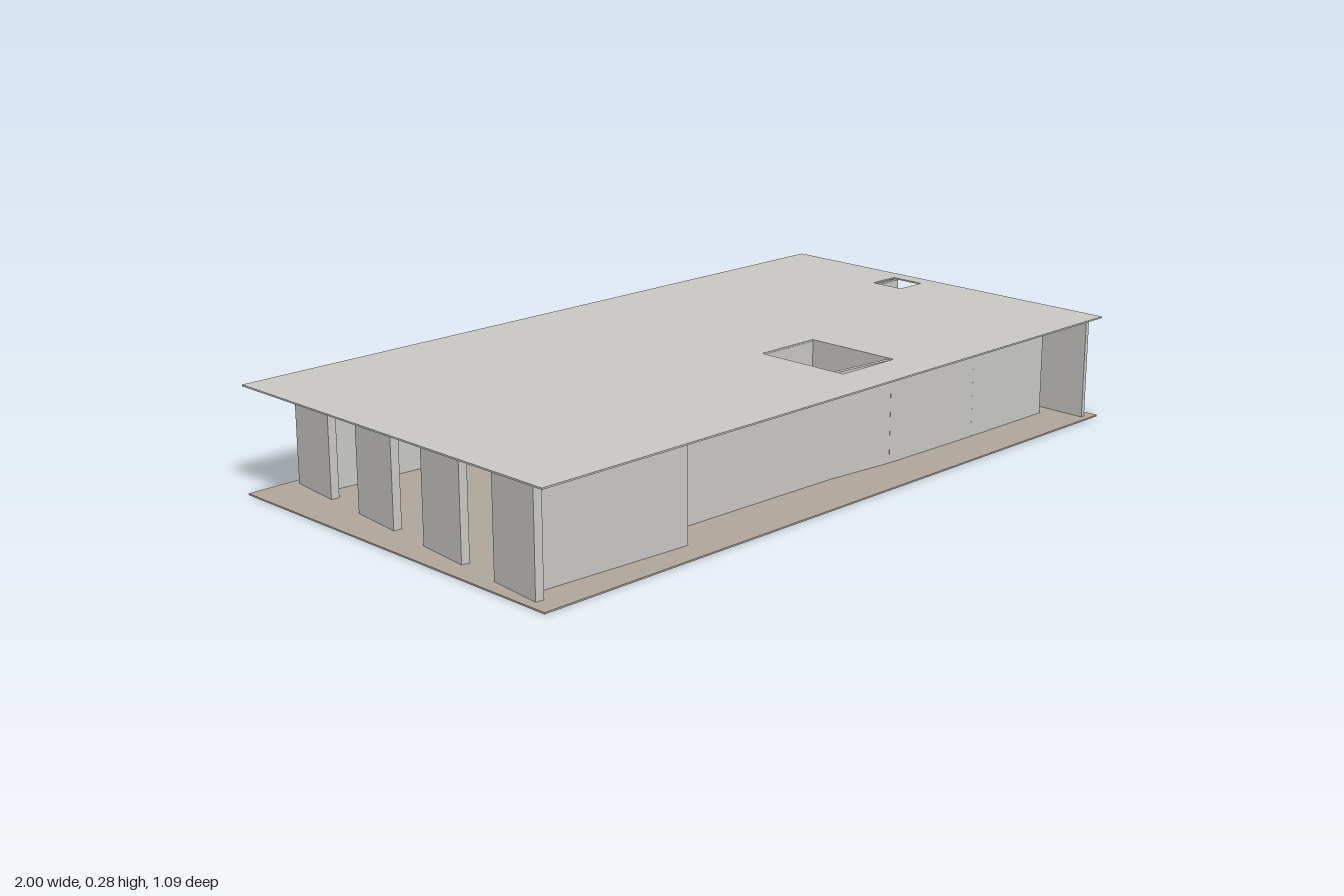
import * as THREE from 'three';

const HEIGHT = 0.28, SLAB = 0.004;

// Rectangular outline with rectangular holes, each [x0, y0, x1, y1]
function rectShape(x0, y0, x1, y1, holes = []) {
  const trace = (path, a, b, c, d) => {
    path.moveTo(a, b);
    path.lineTo(c, b);
    path.lineTo(c, d);
    path.lineTo(a, d);
    path.closePath();
    return path;
  };
  const shape = trace(new THREE.Shape(), x0, y0, x1, y1);
  for (const h of holes) shape.holes.push(trace(new THREE.Path(), ...h));
  return shape;
}

export function createModel() {
  const model = new THREE.Group();
  model.name = 'pavilion';

  const plaster = new THREE.MeshStandardMaterial({ color: 0xc8c7c4 });
  plaster.name = 'plaster grey';
  const stone = new THREE.MeshStandardMaterial({ color: 0xafa69b });
  stone.name = 'floor stone';

  // Horizontal slab, holes in [x0, z0, x1, z1]
  function slab(name, y, material, holes) {
    const flipped = holes.map(([a, b, c, d]) => [a, -d, c, -b]);
    const geo = new THREE.ExtrudeGeometry(rectShape(-1, -0.543, 1, 0.543, flipped),
      { depth: SLAB, bevelEnabled: false });
    geo.rotateX(-Math.PI / 2);
    const mesh = new THREE.Mesh(geo, material);
    mesh.name = name;
    mesh.position.y = y;
    model.add(mesh);
  }

  // Upright wall from (x1, z1) to (x2, z2), holes measured along its length
  function wall(name, x1, z1, x2, z2, thick = 0.012, holes = []) {
    const length = Math.hypot(x2 - x1, z2 - z1);
    const geo = new THREE.ExtrudeGeometry(
      rectShape(0, SLAB, length, HEIGHT - SLAB, holes),
      { depth: thick, bevelEnabled: false });
    geo.translate(0, 0, -thick / 2);
    const mesh = new THREE.Mesh(geo, plaster);
    mesh.name = name;
    mesh.position.set(x1, 0, z1);
    mesh.rotation.y = Math.atan2(z1 - z2, x2 - x1);
    model.add(mesh);
  }

  // Floor, and roof with two skylights
  slab('floor', 0, stone, []);
  slab('roof', HEIGHT - SLAB, plaster,
    [[0.085, 0.15, 0.275, 0.42], [0.865, -0.145, 0.955, -0.045]]);

  // Slanted row of fins along the right-hand side
  for (let i = 0; i < 4; i++) {
    const x = -0.858 - 0.03 * i, z = -0.517 + 0.283 * i;
    wall('sideFin', x, z, x - 0.016, z + 0.155, 0.022);
  }

  // Front walls, stepping back beside the courtyard
  wall('frontWallOuter', -0.92, 0.44, -0.51, 0.465);
  wall('frontReturn', -0.507, 0.47, -0.505, 0.37);
  wall('frontWallMiddle', -0.505, 0.372, 0.08, 0.385);
  wall('frontWallCourt', 0.08, 0.385, 0.28, 0.405);
  wall('frontWallInner', 0.28, 0.405, 0.605, 0.413);
  wall('frontWallEnd', 0.605, 0.413, 0.905, 0.415);

  // Courtyard under the large skylight
  wall('courtyardSide', 0.079, 0.145, 0.079, 0.39);
  wall('courtyardSide', 0.281, 0.145, 0.281, 0.405);
  wall('courtyardBack', 0.079, 0.145, 0.281, 0.145);

  // Left side wall with its window, and the short panel behind it
  wall('sideWall', 0.96, 0.525, 0.966, -0.042, 0.012, [[0.24, 0.13, 0.325, 0.268]]);
  wall('sidePanel', 0.96, -0.137, 0.955, -0.295);

  // Back walls on the left and the small entry court
  wall('backWallLeft', 0.285, -0.137, 0.955, -0.135);
  wall('backReturnLeft', 0.285, -0.137, 0.283, -0.03);
  wall('entryWall', 0.858, -0.13, 0.858, 0, 0.012, [[0.015, 0.16, 0.07, 0.24]]);

  // Back walls on the right, stepping inward
  wall('backWallRight', -0.862, -0.425, -0.395, -0.388);
  wall('backReturnRight', -0.395, -0.39, -0.405, -0.275);
  wall('backWallStep', -0.405, -0.278, -0.185, -0.258);
  wall('innerWall', -0.185, -0.26, -0.2, 0.05);

  return model;
}
